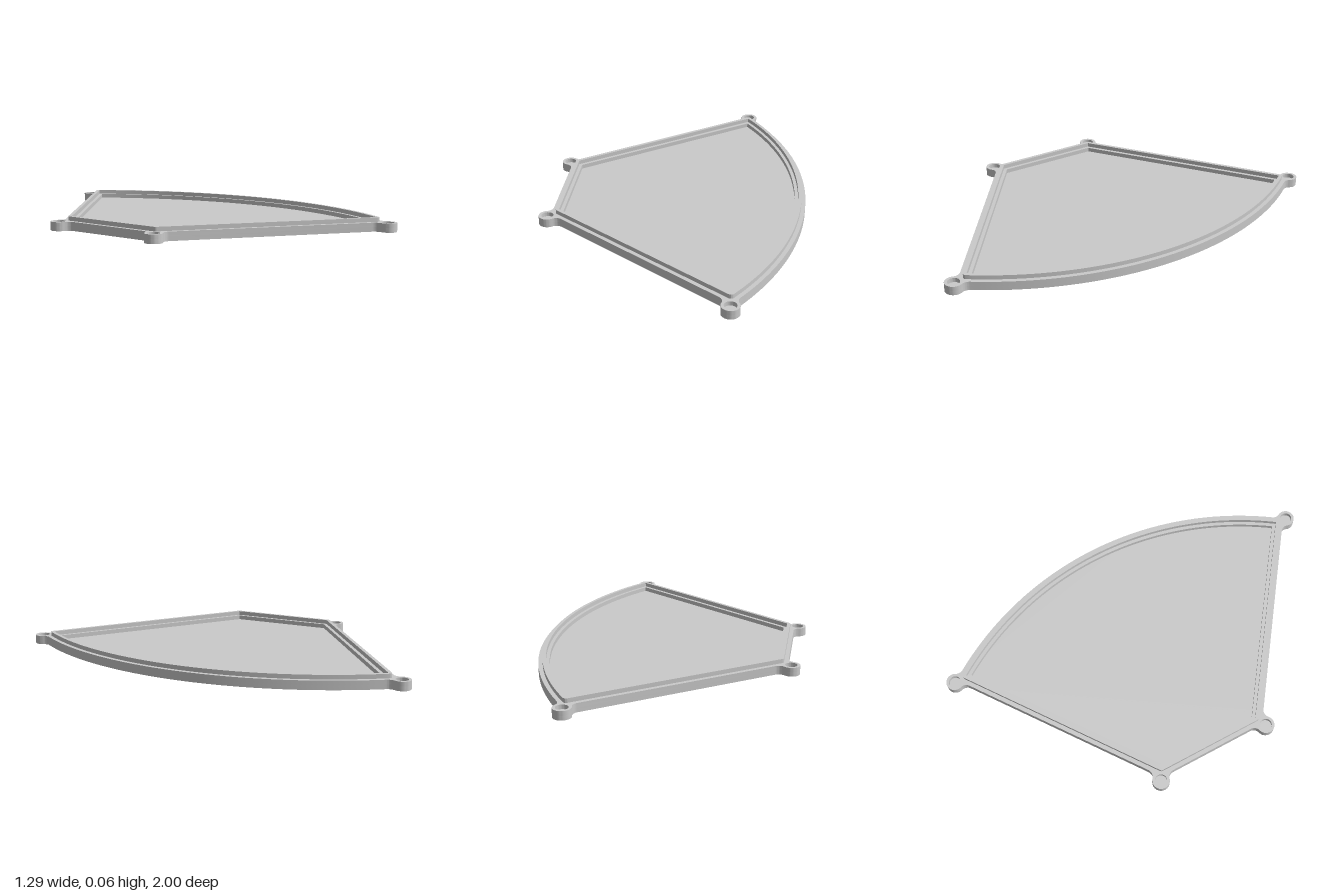
import * as THREE from 'three';
import { toCreasedNormals } from 'three/addons/utils/BufferGeometryUtils.js';

const HALF = Math.PI / 5;            // half angle of the fan
const APEX = -0.938, R = 1.559;      // centre and radius of the curved edge
const LEFT = -0.566;                 // straight short edge
const EAR = 0.0425, HOLE = 0.029, FILLET = 0.035;
const FLOOR = 0.022, RIM = 0.043, LIP = 0.0635; // heights of the three levels
const LIP_WIDTH = 0.0165;
const V = (x, y) => new THREE.Vector2(x, y);
const INNER_EAR = V(-0.602, 0.292), OUTER_EAR = V(0.322, 0.9575);
const centre = V(APEX, 0);
const polar = (c, r, a) => V(c.x + r * Math.cos(a), c.y + r * Math.sin(a));
const angle = (from, to) => Math.atan2(to.y - from.y, to.x - from.x);

// Close a half outline that ends on the axis, running counter-clockwise
function mirrored(half) {
  const pts = half.filter((p, i) => i === 0 || p.distanceTo(half[i - 1]) > 1e-5);
  return [...pts, ...pts.slice(0, -1).map((p) => V(p.x, -p.y)).reverse()].reverse();
}

// Points along an arc; dir chooses the sense of turning
function arc(c, r, a0, a1, n, dir) {
  let d = a1 - a0;
  while (dir > 0 && d < 0) d += 2 * Math.PI;
  while (dir < 0 && d > 0) d -= 2 * Math.PI;
  return Array.from({ length: n + 1 }, (_, i) => polar(c, r, a0 + (d * i) / n));
}

// The fan outline grown outward by d, with corners rounded by a radius
function fan(d, round = 0) {
  const e = d - round;
  const x = LEFT - e, tip = APEX - e / Math.sin(HALF);
  const a = HALF + Math.asin(e / (R + e));
  const inner = V(x, (x - tip) * Math.tan(HALF)), outer = polar(centre, R + e, a);
  const side = HALF + Math.PI / 2;
  return mirrored([
    ...arc(inner, round, Math.PI, side, 8, -1),
    ...arc(outer, round, side, a, 8, -1),
    ...arc(centre, R + d, a, 0, 32, -1),
  ]);
}

// Centre of a fillet touching an ear and a straight edge
function lineFillet(ear, p, u, n) {
  const rel = ear.clone().sub(p), e = rel.dot(n);
  const t = rel.dot(u) + Math.sqrt((EAR + FILLET) ** 2 - (FILLET - e) ** 2);
  return p.clone().addScaledVector(u, t).addScaledVector(n, FILLET);
}

// Body outline: fan with four filleted ears
function bodyOutline(d) {
  const x = LEFT - d, tip = V(APEX - d / Math.sin(HALF), 0);
  const u = V(Math.cos(HALF), Math.sin(HALF)), n = V(-u.y, u.x);
  const f1 = lineFillet(INNER_EAR, V(x, 0), V(0, -1), V(-1, 0));
  const f2 = lineFillet(INNER_EAR, tip, u, n);
  const f3 = lineFillet(OUTER_EAR, tip, u.clone().negate(), n);
  const D = centre.distanceTo(OUTER_EAR), q = R + d + FILLET;
  const turn = Math.acos((D * D + q * q - (EAR + FILLET) ** 2) / (2 * D * q));
  const a4 = angle(centre, OUTER_EAR) - turn;
  const f4 = polar(centre, q, a4);
  const down = HALF - Math.PI / 2; // from a fillet centre to the slanted edge
  return mirrored([
    ...arc(f1, FILLET, 0, angle(f1, INNER_EAR), 8, 1),
    ...arc(INNER_EAR, EAR, angle(INNER_EAR, f1), angle(INNER_EAR, f2), 24, -1),
    ...arc(f2, FILLET, angle(f2, INNER_EAR), down, 8, 1),
    ...arc(f3, FILLET, down, angle(f3, OUTER_EAR), 8, 1),
    ...arc(OUTER_EAR, EAR, angle(OUTER_EAR, f3), angle(OUTER_EAR, f4), 24, -1),
    ...arc(f4, FILLET, angle(f4, OUTER_EAR), a4 + Math.PI, 8, 1),
    ...arc(centre, R + d, a4, 0, 32, -1),
  ]);
}

export function createModel() {
  const group = new THREE.Group();
  const grey = new THREE.MeshStandardMaterial({ color: 0xcacaca });
  grey.name = 'grey';

  // Extrude an outline upward from y0 to y1
  function layer(name, outline, holes, y0, y1) {
    const shape = new THREE.Shape(outline);
    shape.holes = holes.map((h) => new THREE.Path(h));
    const geo = new THREE.ExtrudeGeometry(shape, { depth: y1 - y0, bevelEnabled: false });
    geo.rotateX(-Math.PI / 2).translate(0, y0, 0);
    const mesh = new THREE.Mesh(toCreasedNormals(geo, 0.6), grey);
    mesh.name = name;
    group.add(mesh);
  }

  const body = bodyOutline(0.02);
  const earHoles = [INNER_EAR, OUTER_EAR].flatMap((c) => [1, -1].map((s) =>
    arc(V(c.x, c.y * s), HOLE, 0, 2 * Math.PI, 32, 1).slice(0, -1)));

  layer('floorPlate', body, [], 0, FLOOR);
  layer('rimWithEars', body, [fan(-2 * LIP_WIDTH), ...earHoles], FLOOR, RIM);
  layer('raisedLip', fan(0, LIP_WIDTH), [fan(-LIP_WIDTH)], RIM, LIP);
  return group;
}
